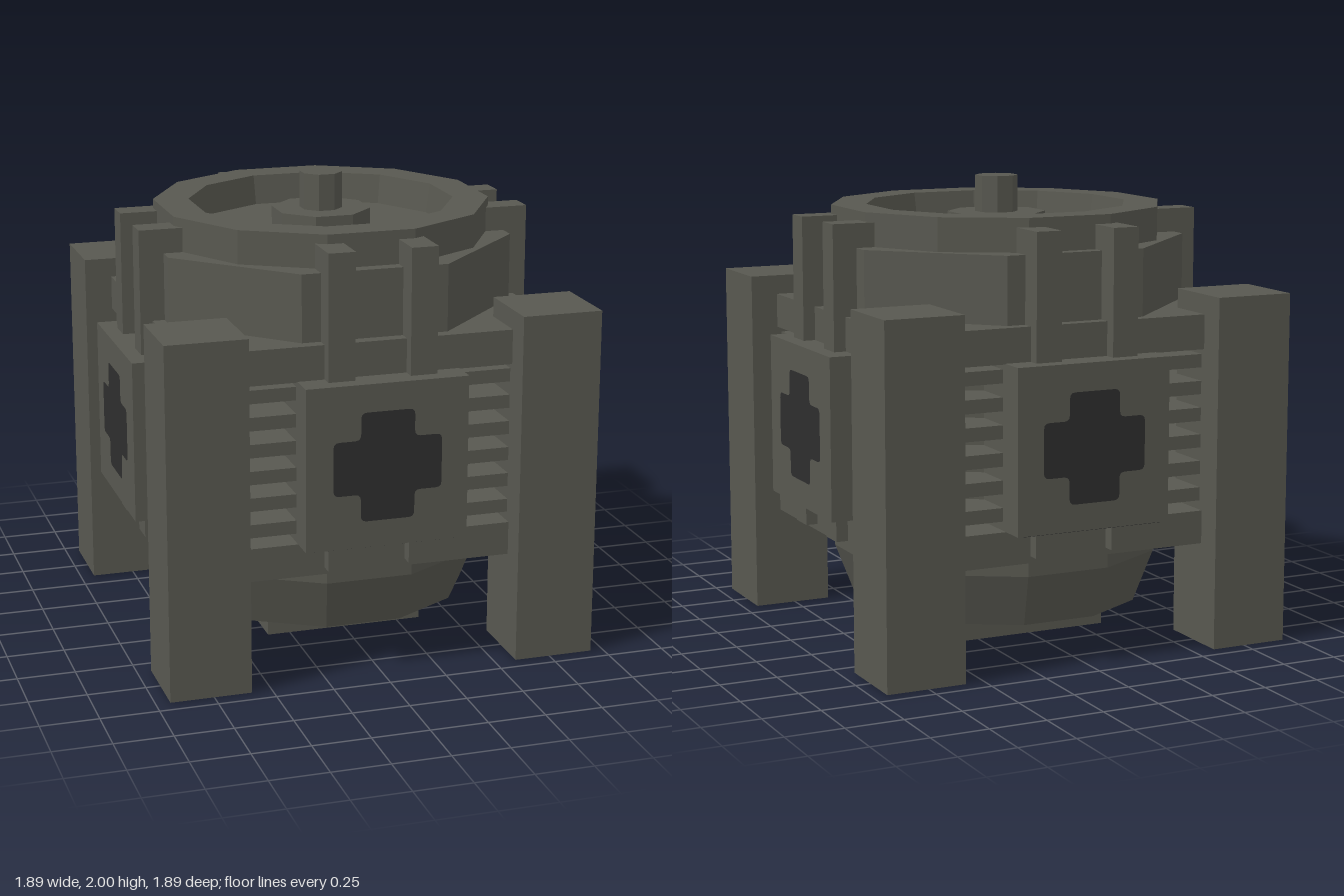
import * as THREE from 'three';

const flat = (color, name) => {
  const m = new THREE.MeshStandardMaterial({ color, flatShading: true });
  m.name = name;
  return m;
};

// Plus-shaped outline with softened corners
function plusShape(reach, arm, cut) {
  const pts = [];
  for (let i = 0; i < 4; i++) {
    const a = (i * Math.PI) / 2;
    for (const [x, y] of [[reach, -arm], [reach, arm], [arm, arm]]) {
      pts.push(new THREE.Vector2(x, y).rotateAround(new THREE.Vector2(), a));
    }
  }
  const shape = new THREE.Shape();
  pts.forEach((p, i) => {
    const prev = pts[(i + 11) % 12], next = pts[(i + 1) % 12];
    const a = p.clone().add(prev.clone().sub(p).setLength(cut));
    const b = p.clone().add(next.clone().sub(p).setLength(cut));
    if (i === 0) shape.moveTo(a.x, a.y); else shape.lineTo(a.x, a.y);
    shape.quadraticCurveTo(p.x, p.y, b.x, b.y);
  });
  return new THREE.ShapeGeometry(shape, 3);
}

export function createModel() {
  const metal = flat(0x585850, 'grey metal');
  const dark = flat(0x2e2e2e, 'dark inset');
  const brown = flat(0x96604a, 'brown contact');
  const model = new THREE.Group();
  model.name = 'reactor';

  const add = (parent, name, geo, mat, x = 0, y = 0, z = 0) => {
    const mesh = new THREE.Mesh(geo, mat);
    mesh.name = name;
    mesh.position.set(x, y, z);
    parent.add(mesh);
    return mesh;
  };
  // Box given by its limits on each axis
  const box = (parent, name, mat, x0, x1, y0, y1, z0, z1) =>
    add(parent, name, new THREE.BoxGeometry(x1 - x0, y1 - y0, z1 - z0), mat,
      (x0 + x1) / 2, (y0 + y1) / 2, (z0 + z1) / 2);
  // Prism with flats facing the axes
  const prism = (name, r, sides, y0, y1) =>
    add(model, name, new THREE.CylinderGeometry(r, r, y1 - y0, sides).rotateY(Math.PI / sides),
      metal, 0, (y0 + y1) / 2, 0);

  // Twelve-sided core: tapered base, straight wall, open dish on top
  const profile = [[0, 0.12], [0.645, 0.12], [0.735, 0.355], [0.735, 1.88],
    [0.58, 1.88], [0.56, 1.75], [0, 1.75]].map(([r, y]) => new THREE.Vector2(r, y));
  add(model, 'core', new THREE.LatheGeometry(profile, 12, Math.PI / 12), metal);
  prism('collar', 0.83, 8, 1.44, 1.735);
  prism('hub', 0.217, 8, 1.74, 1.84);
  prism('pin', 0.094, 8, 1.83, 2.0);

  // Square slabs and the cooling fins between them
  box(model, 'lowerSlab', metal, -0.82, 0.82, 0.445, 0.59, -0.82, 0.82);
  box(model, 'upperSlab', metal, -0.82, 0.82, 1.295, 1.445, -0.82, 0.82);
  for (let i = 0; i < 6; i++) {
    const y = 0.66 + i * 0.1165;
    box(model, 'fin', metal, -0.8, 0.8, y - 0.029, y + 0.029, -0.8, 0.8);
  }

  // Base block with its dark inset and contact
  box(model, 'baseBlock', metal, -0.353, 0.353, 0, 0.14, -0.353, 0.353);
  add(model, 'baseInset', plusShape(0.31, 0.22, 0.025).rotateX(Math.PI / 2), dark, 0, -0.002, 0);
  add(model, 'baseContact', new THREE.PlaneGeometry(0.21, 0.21).rotateX(Math.PI / 2), brown, 0, -0.004, 0);

  // Four identical sides, each with one corner leg
  const plus = plusShape(0.236, 0.117, 0.025);
  for (let i = 0; i < 4; i++) {
    const side = new THREE.Group();
    side.name = 'side';
    side.rotation.y = (i * Math.PI) / 2;
    model.add(side);

    box(side, 'leg', metal, 0.59, 0.94, 0, 1.53, 0.59, 0.94);
    box(side, 'panel', metal, -0.353, 0.353, 0.592, 1.298, 0.6, 0.94);
    add(side, 'panelInset', plus, dark, 0, 0.943, 0.943);
    box(side, 'panelUnderside', dark, -0.32, 0.32, 0.588, 0.594, 0.8, 0.93);
    for (const s of [-1, 1]) {
      const x = s * 0.178;
      box(side, 'upright', metal, x - 0.058, x + 0.058, 0.475, 1.84, 0.66, 0.873);
    }
  }
  return model;
}
